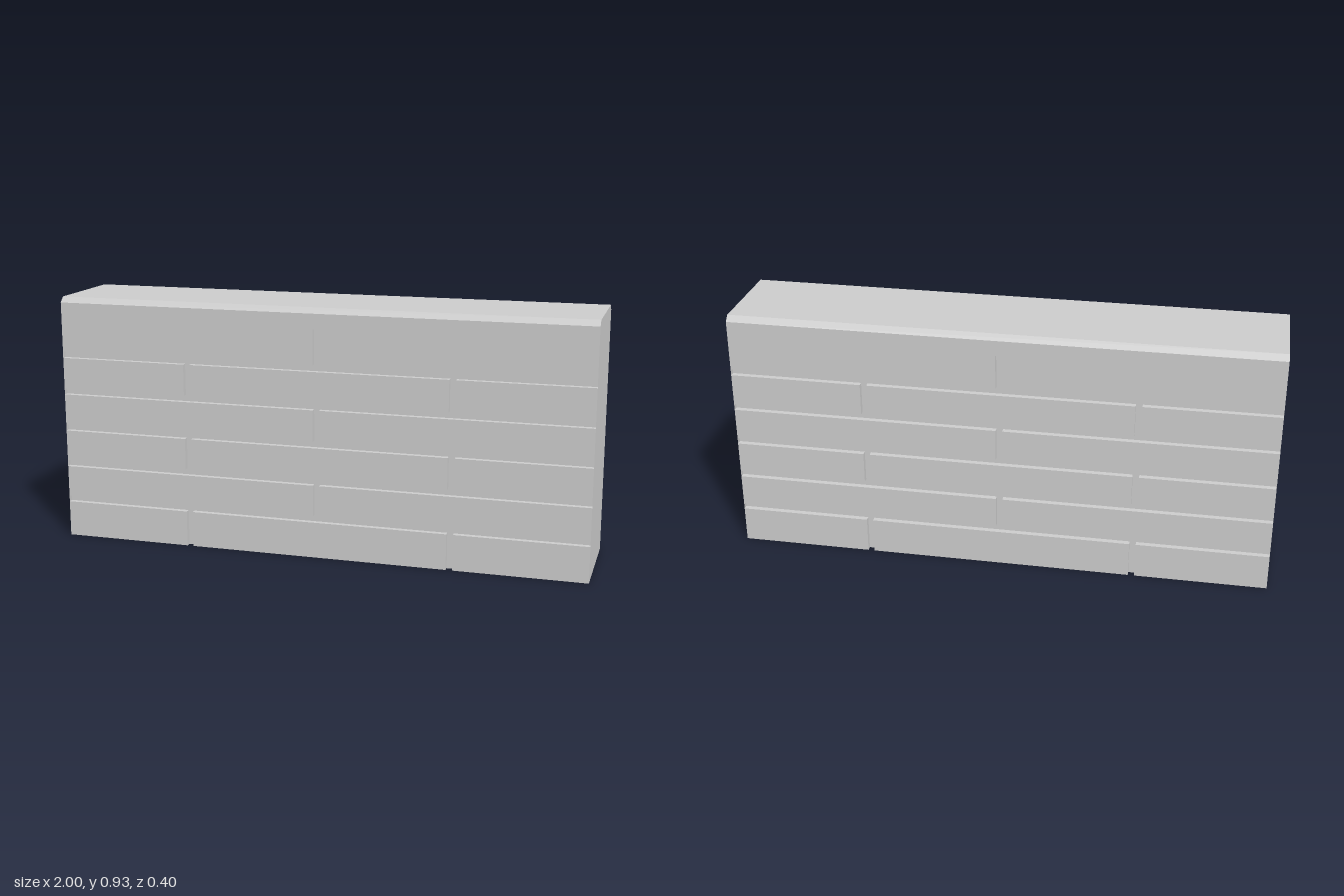
import * as THREE from 'three';

const W = 1, D = 0.2, H = 0.932, CH = 0.02;      // half width, half depth, height, chamfer
const FACE_TOP = H - CH;                          // top of the vertical wall face
const PITCH = 0.1415, J = 0.012, DEPTH = 0.02;    // course height, half joint width, joint depth
const ROWS = 6, TOP_JOINT = 0.855;

const bedY = (i) => i * PITCH + 0.005;            // centre of the bed joint above course i
const rect = (x0, x1, y0, y1) => [[x0, y0], [x1, y0], [x1, y1], [x0, y1]];

// Outlines of bricks and rectangles of joints, in the plane of the wall face
function layout() {
  const bricks = [], joints = [];
  for (let r = 0; r < ROWS; r++) {
    const top = r === ROWS - 1;
    const y0 = r === 0 ? 0 : bedY(r) + J;
    const y1 = top ? FACE_TOP : bedY(r + 1) - J;
    const heads = r % 2 === 0 ? [-0.5, 0.5] : [0];
    if (!top) joints.push([-W, W, y1, y1 + 2 * J]);
    for (const x of heads) joints.push([x - J, x + J, y0, top ? TOP_JOINT : y1]);
    if (top) {
      // The cap course is one piece with a short notch in the middle
      bricks.push([[-W, y0], [-J, y0], [-J, TOP_JOINT], [J, TOP_JOINT], [J, y0], [W, y0], [W, y1], [-W, y1]]);
    } else {
      const cuts = [-W - J, ...heads, W + J];
      for (let i = 0; i < cuts.length - 1; i++) bricks.push(rect(cuts[i] + J, cuts[i + 1] - J, y0, y1));
    }
  }
  return { bricks, joints };
}

// Inward walls along an outline, left out where it meets the edge of the face
function rimGeometry(outline) {
  const pos = [];
  const near = (a, b) => Math.abs(a - b) < 1e-6;
  outline.forEach(([ax, ay], i) => {
    const [bx, by] = outline[(i + 1) % outline.length];
    const onEdge = (near(ax, bx) && near(Math.abs(ax), W)) ||
      (near(ay, by) && (near(ay, 0) || near(ay, FACE_TOP)));
    if (onEdge) return;
    const f = D, b = D - DEPTH;
    pos.push(ax, ay, f, ax, ay, b, bx, by, b, ax, ay, f, bx, by, b, bx, by, f);
  });
  const g = new THREE.BufferGeometry();
  g.setAttribute('position', new THREE.Float32BufferAttribute(pos, 3));
  g.computeVertexNormals();
  return g;
}

export function createModel() {
  const stone = new THREE.MeshStandardMaterial({ color: 0xcccccc, side: THREE.DoubleSide });
  stone.name = 'grey stone';
  const model = new THREE.Group();
  model.name = 'brickWall';
  const add = (parent, geometry, name) => {
    const m = new THREE.Mesh(geometry, stone);
    m.name = name;
    parent.add(m);
    return m;
  };
  const { bricks, joints } = layout();

  // Front and back: brick faces, their rims, sunken joints and the chamfer
  for (const [name, turn] of [['frontFace', 0], ['backFace', Math.PI]]) {
    const side = new THREE.Group();
    side.name = name;
    side.rotation.y = turn;
    for (const outline of bricks) {
      const shape = new THREE.Shape(outline.map(([x, y]) => new THREE.Vector2(x, y)));
      add(side, new THREE.ShapeGeometry(shape).translate(0, 0, D), 'brick');
      add(side, rimGeometry(outline), 'brickRim');
    }
    for (const [x0, x1, y0, y1] of joints) {
      add(side, new THREE.PlaneGeometry(x1 - x0, y1 - y0), 'mortarJoint')
        .position.set((x0 + x1) / 2, (y0 + y1) / 2, D - DEPTH);
    }
    const chamfer = add(side, new THREE.PlaneGeometry(2 * W, CH * Math.SQRT2), 'topChamfer');
    chamfer.rotation.x = -Math.PI / 4;
    chamfer.position.set(0, H - CH / 2, D - CH / 2);
    model.add(side);
  }

  // Flat top
  const top = add(model, new THREE.PlaneGeometry(2 * W, 2 * (D - CH)), 'top');
  top.rotation.x = -Math.PI / 2;
  top.position.y = H;

  // End caps with clipped upper corners; the underside stays open
  const profile = new THREE.Shape([[-D, 0], [D, 0], [D, FACE_TOP], [D - CH, H], [CH - D, H], [-D, FACE_TOP]]
    .map(([x, y]) => new THREE.Vector2(x, y)));
  for (const [name, s] of [['leftEnd', 1], ['rightEnd', -1]]) {
    const end = add(model, new THREE.ShapeGeometry(profile), name);
    end.rotation.y = s * Math.PI / 2;
    end.position.x = s * W;
  }
  return model;
}
